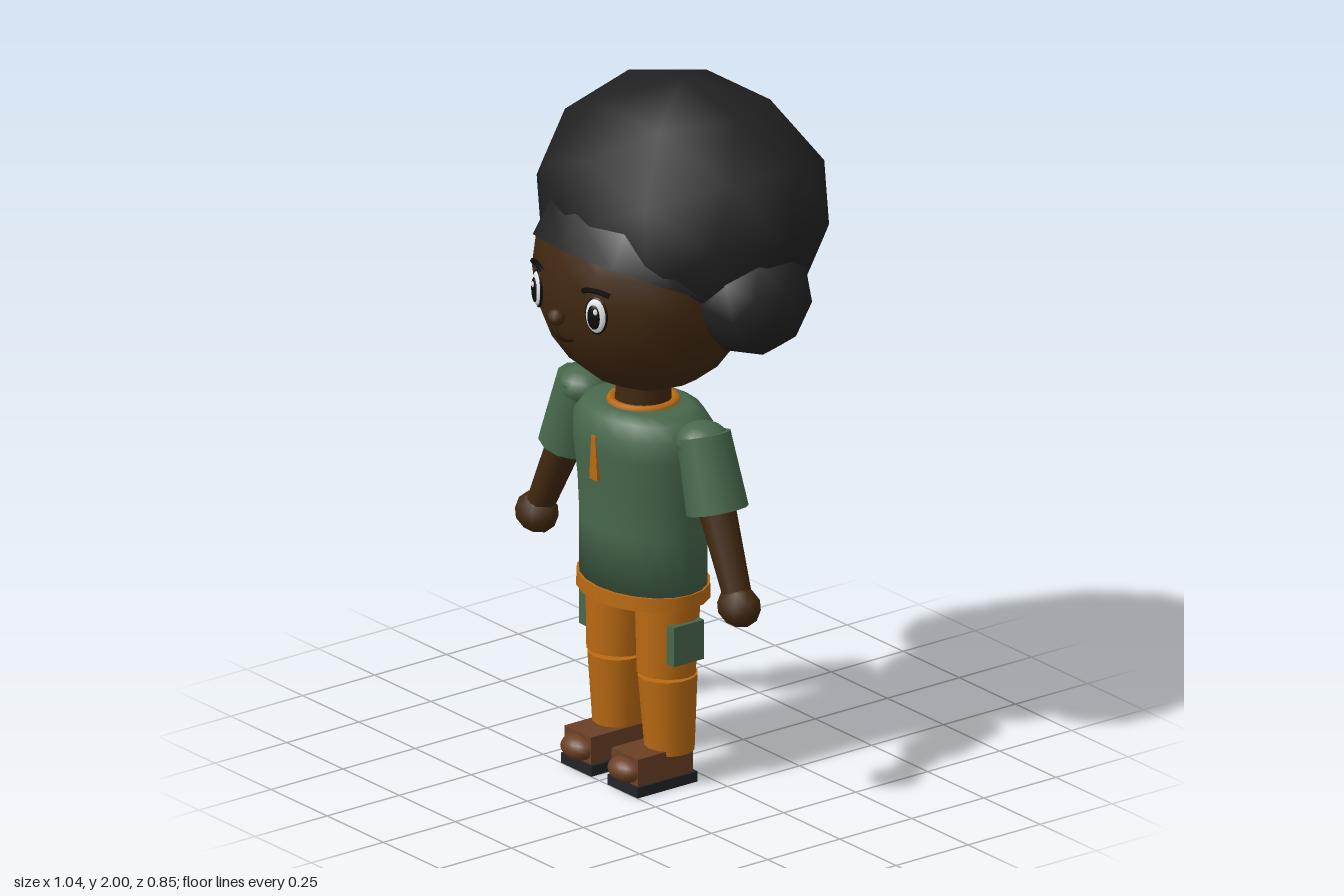
import * as THREE from 'three';

const mat = (name, color, side = THREE.FrontSide) => {
  const m = new THREE.MeshStandardMaterial({ color, side });
  m.name = name;
  return m;
};

export function createModel() {
  const root = new THREE.Group();
  root.name = 'child';
  const skin = mat('darkSkin', 0x412810);
  const hair = mat('blackHair', 0x222222, THREE.DoubleSide);
  const green = mat('greenCloth', 0x48684c);
  const orange = mat('orangeCloth', 0xba6a12, THREE.DoubleSide);
  const leather = mat('brownLeather', 0x6b4025);
  const rubber = mat('darkRubber', 0x222428);
  const white = mat('eyeWhite', 0xe4e4e4);
  const black = mat('black', 0x0c0c0e);
  const lip = mat('lip', 0x1e0f06);

  const add = (name, geo, material, pos = [0, 0, 0], scale = [1, 1, 1], parent = root) => {
    const m = new THREE.Mesh(geo, material);
    m.name = name;
    m.position.set(...pos);
    m.scale.set(...scale);
    parent.add(m);
    return m;
  };
  const ball = new THREE.SphereGeometry(1, 16, 12);
  const rough = new THREE.IcosahedronGeometry(1, 1);

  // Tapered limb between two points, radius r1 at a and r2 at b
  const limb = (name, a, b, r1, r2, material, segs = 12) => {
    const p = new THREE.Vector3(...a), q = new THREE.Vector3(...b);
    const d = p.clone().sub(q);
    const m = add(name, new THREE.CylinderGeometry(r1, r2, d.length(), segs), material);
    m.position.copy(p).add(q).multiplyScalar(0.5);
    m.quaternion.setFromUnitVectors(new THREE.Vector3(0, 1, 0), d.normalize());
    return m;
  };

  // Head and hair
  add('head', ball, skin, [0, 1.46, 0.09], [0.33, 0.33, 0.3]);
  add('hairVolume', rough, hair, [0, 1.64, -0.04], [0.46, 0.36, 0.385]);
  const cap = add('hairCap', new THREE.SphereGeometry(1, 12, 5, 0, Math.PI * 2, 0, Math.PI / 2),
    hair, [0, 1.465, 0.073], [0.348, 0.34, 0.34]);
  cap.rotation.x = -0.39;

  // Nose and mouth
  add('nose', rough, skin, [0, 1.4, 0.4], [0.028, 0.024, 0.024]);
  const smile = new THREE.QuadraticBezierCurve3(
    new THREE.Vector3(-0.045, 1.342, 0.372), new THREE.Vector3(0, 1.316, 0.381), new THREE.Vector3(0.045, 1.342, 0.372));
  add('mouth', new THREE.TubeGeometry(smile, 10, 0.005, 5), lip);

  // Neck, shirt and trim
  add('neck', new THREE.CylinderGeometry(0.075, 0.08, 0.16, 12), skin, [0, 1.12, 0.097]);
  const profile = [[0, 0.56], [0.207, 0.56], [0.207, 0.74], [0.213, 0.86], [0.227, 0.97], [0.225, 1.03],
    [0.195, 1.07], [0.15, 1.088], [0, 1.09]].map(p => new THREE.Vector2(...p));
  add('shirt', new THREE.LatheGeometry(profile, 20), green, [0, 0, 0.097], [1, 1, 0.76]);
  add('shirtHem', new THREE.CylinderGeometry(0.212, 0.214, 0.04, 20), orange, [0, 0.553, 0.097], [1, 1, 0.78]);
  const collar = add('collar', new THREE.TorusGeometry(0.09, 0.014, 6, 20), orange, [0, 1.086, 0.097]);
  collar.rotation.x = Math.PI / 2;
  const tab = new THREE.Shape([[-0.018, 0.89], [0.018, 0.89], [0.009, 1.02], [-0.009, 1.02]]
    .map(p => new THREE.Vector2(...p)));
  add('zipTab', new THREE.ExtrudeGeometry(tab, { depth: 0.009, bevelEnabled: false }), orange, [0, 0, 0.262]);

  for (const s of [1, -1]) {
    const side = s > 0 ? 'left' : 'right';

    // Side hair puff
    const puff = add(side + 'HairPuff', rough, hair, [s * 0.325, 1.465, -0.025], [0.163, 0.17, 0.17]);
    puff.rotation.z = s * 0.3;

    // Eye with rim, white, pupil and glint
    const eye = new THREE.Group();
    eye.name = side + 'Eye';
    eye.position.set(s * 0.13, 1.435, 0.361);
    eye.rotation.y = s * 0.36;
    root.add(eye);
    add('eyeRim', ball, black, [0, 0, 0], [0.037, 0.055, 0.009], eye);
    add('eyeball', ball, white, [0, 0, 0.002], [0.033, 0.05, 0.013], eye);
    add('pupil', ball, black, [-s * 0.002, -0.002, 0.011], [0.021, 0.036, 0.007], eye);
    add('glint', ball, white, [0.006, 0.016, 0.017], [0.007, 0.009, 0.003], eye);

    // Eyebrow
    const brow = new THREE.QuadraticBezierCurve3(
      new THREE.Vector3(s * 0.09, 1.5, 0.377), new THREE.Vector3(s * 0.13, 1.518, 0.371),
      new THREE.Vector3(s * 0.172, 1.5, 0.347));
    add(side + 'Eyebrow', new THREE.TubeGeometry(brow, 8, 0.008, 5), black);

    // Sleeve, arm and hand
    limb(side + 'Sleeve', [s * 0.268, 1.065, 0.097], [s * 0.33, 0.86, 0.097], 0.075, 0.087, green);
    add(side + 'Shoulder', ball, green, [s * 0.265, 1.045, 0.097], [0.075, 0.055, 0.075]);
    limb(side + 'Arm', [s * 0.31, 0.92, 0.1], [s * 0.44, 0.645, 0.113], 0.055, 0.04, skin);
    add(side + 'Hand', rough, skin, [s * 0.45, 0.62, 0.116], [0.07, 0.059, 0.056]);

    // Trouser leg in two pieces with a seam at the knee
    limb(side + 'UpperLeg', [s * 0.11, 0.55, 0.098], [s * 0.112, 0.326, 0.105], 0.093, 0.083, orange, 14);
    limb(side + 'LowerLeg', [s * 0.112, 0.317, 0.1], [s * 0.116, 0.095, 0.096], 0.084, 0.07, orange, 14);
    add(side + 'Knee', ball, orange, [s * 0.112, 0.32, 0.085], [0.07, 0.05, 0.065]);
    add(side + 'Pocket', new THREE.BoxGeometry(0.035, 0.115, 0.105), green, [s * 0.193, 0.433, 0.103]);

    // Shoe
    add(side + 'Sole', new THREE.BoxGeometry(0.135, 0.03, 0.208), rubber, [s * 0.103, 0.015, 0.146]);
    add(side + 'ShoeUpper', new THREE.BoxGeometry(0.118, 0.08, 0.19), leather, [s * 0.105, 0.07, 0.148]);
    add(side + 'ToeCap', ball, leather, [s * 0.105, 0.065, 0.24], [0.058, 0.036, 0.045]);
  }
  return root;
}
